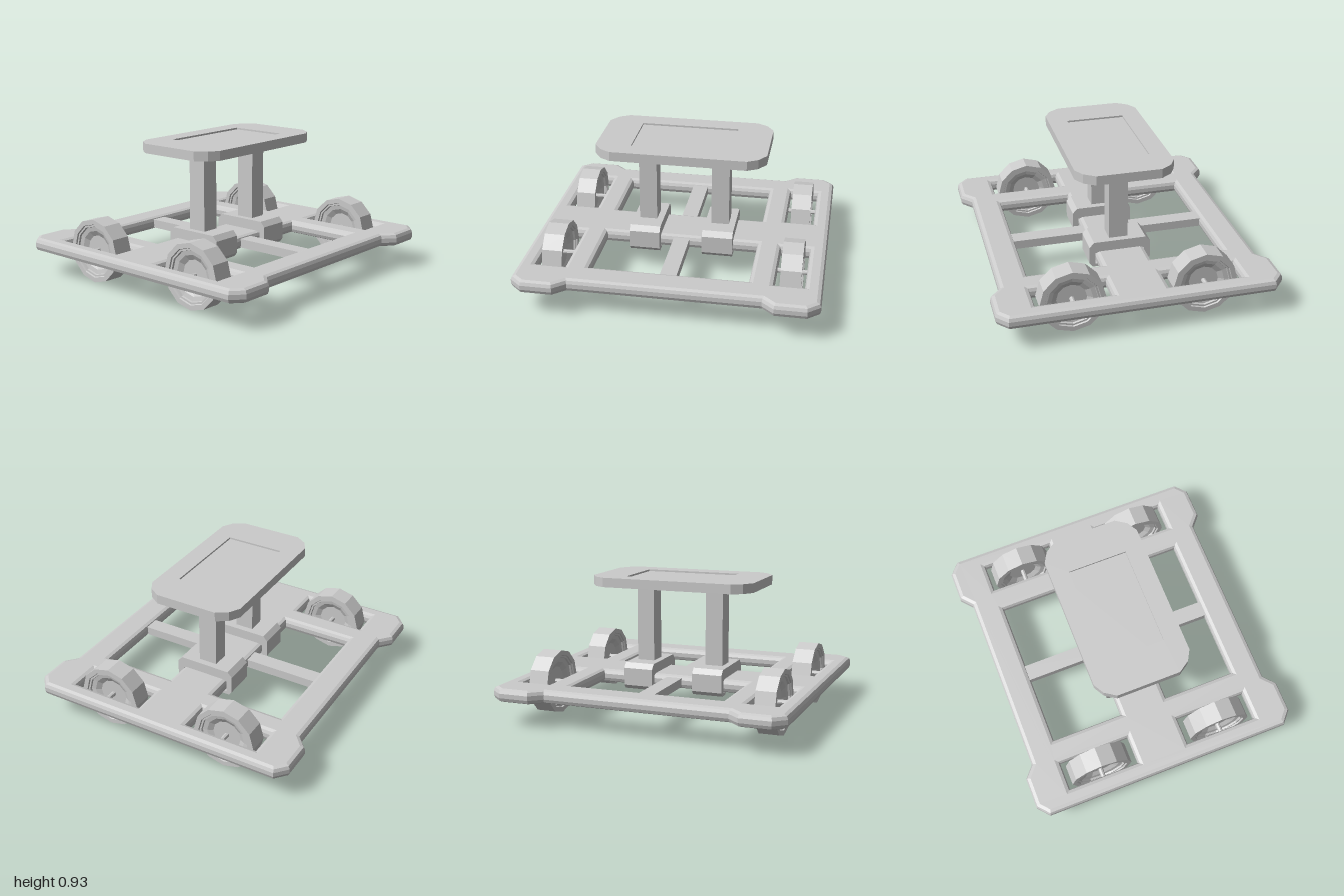
import * as THREE from 'three';

const material = new THREE.MeshStandardMaterial({ color: 0xcccccc, flatShading: true });

function addMesh(parent, name, geometry, x = 0, y = 0, z = 0) {
  const mesh = new THREE.Mesh(geometry, material);
  mesh.name = name;
  mesh.position.set(x, y, z);
  parent.add(mesh);
  return mesh;
}

// Mirrors the corners of one quadrant into a closed outline.
function quadOutline(corner) {
  const back = [...corner].reverse();
  return [
    ...corner,
    ...back.map(([x, y]) => [-x, y]),
    ...corner.map(([x, y]) => [-x, -y]),
    ...back.map(([x, y]) => [x, -y]),
  ].map(([x, y]) => new THREE.Vector2(x, y));
}

function rectPath(x0, x1, z0, z1) {
  return new THREE.Path([[x0, z0], [x0, z1], [x1, z1], [x1, z0]].map((p) => new THREE.Vector2(...p)));
}

// Horizontal plate from y0 to y1 whose widest section follows the shape.
function plate(shape, y0, y1, bevel, segments = 1) {
  const geometry = new THREE.ExtrudeGeometry(shape, {
    depth: y1 - y0 - 2 * bevel,
    bevelEnabled: bevel > 0,
    bevelThickness: bevel,
    bevelSize: bevel,
    bevelOffset: -bevel,
    bevelSegments: segments,
  });
  geometry.rotateX(-Math.PI / 2);
  geometry.translate(0, y0 + bevel, 0);
  return geometry;
}

function buildFrame() {
  const group = new THREE.Group();
  group.name = 'frame';
  const shape = new THREE.Shape(quadOutline([[1, 0.87], [0.92, 0.94], [0.71, 0.94], [0.63, 0.87]]));
  // Two windows either side of the cross beam, and four wheel slots
  for (const s of [-1, 1]) {
    shape.holes.push(rectPath(-0.525, 0.525, s * 0.17, s * 0.67));
    for (const t of [-1, 1]) shape.holes.push(rectPath(t * 0.69, t * 0.885, s * 0.185, s * 0.685));
  }
  addMesh(group, 'deck', plate(shape, 0.17, 0.26, 0.03, 2));
  for (const s of [-1, 1]) {
    addMesh(group, 'spine', new THREE.BoxGeometry(0.11, 0.06, 0.56), 0, 0.215, s * 0.42);
  }
  return group;
}

function buildWheel(x, z) {
  const group = new THREE.Group();
  group.name = 'wheel';
  group.position.set(x, 0.218, z);
  // Half profile: hub web, dished rim, then tyre
  const half = [[0, 0.02], [0.1, 0.02], [0.135, 0.04], [0.165, 0.045], [0.168, 0.058], [0.18, 0.058], [0.184, 0.068], [0.217, 0.068]];
  const profile = [
    ...half.map(([r, y]) => new THREE.Vector2(r, -y)),
    ...[...half].reverse().map(([r, y]) => new THREE.Vector2(r, y)),
  ];
  addMesh(group, 'tyreAndRim', new THREE.LatheGeometry(profile, 12).rotateZ(Math.PI / 2));
  addMesh(group, 'axle', new THREE.CylinderGeometry(0.016, 0.016, 0.21, 8).rotateZ(Math.PI / 2));
  return group;
}

function buildSupport(x) {
  const group = new THREE.Group();
  group.name = 'seatSupport';
  group.position.x = x;
  // Saddle clamp hooked around the cross beam
  const side = [[0.115, 0.17], [0.115, 0.163], [0.13, 0.148], [0.19, 0.148], [0.212, 0.175], [0.212, 0.295], [0.18, 0.33]];
  const inner = [[0.17, 0.25], [0.17, 0.17]];
  const right = [...inner, ...side];
  const left = [...right].reverse().map(([z, y]) => [-z, y]);
  const clampShape = new THREE.Shape([...right, ...left].map((p) => new THREE.Vector2(...p)));
  const clamp = new THREE.ExtrudeGeometry(clampShape, { depth: 0.21, bevelEnabled: false });
  clamp.translate(0, 0, -0.105).rotateY(Math.PI / 2);
  addMesh(group, 'clamp', clamp);
  addMesh(group, 'post', new THREE.BoxGeometry(0.122, 0.54, 0.13), 0, 0.59, 0);
  // Mounting pad under the seat
  const pad = new THREE.Shape(quadOutline([[0.16, 0.1], [0.1, 0.16]]));
  addMesh(group, 'mountingPad', plate(pad, 0.848, 0.872, 0.006));
  return group;
}

function buildSeat() {
  const group = new THREE.Group();
  group.name = 'seat';
  const corner = [[0.575, 0.215], [0.525, 0.29], [0.455, 0.33]];
  addMesh(group, 'seatBase', plate(new THREE.Shape(quadOutline(corner)), 0.87, 0.922, 0));
  // Top layer with a shallow recess
  const top = new THREE.Shape(quadOutline(corner));
  top.holes.push(rectPath(-0.335, 0.335, -0.2, 0.2));
  addMesh(group, 'seatTop', plate(top, 0.922, 0.934, 0));
  return group;
}

export function createModel() {
  const model = new THREE.Group();
  model.name = 'rollingSeat';
  model.add(buildFrame(), buildSeat());
  for (const s of [-1, 1]) {
    model.add(buildSupport(s * 0.252));
    for (const t of [-1, 1]) model.add(buildWheel(s * 0.79, t * 0.438));
  }
  return model;
}
